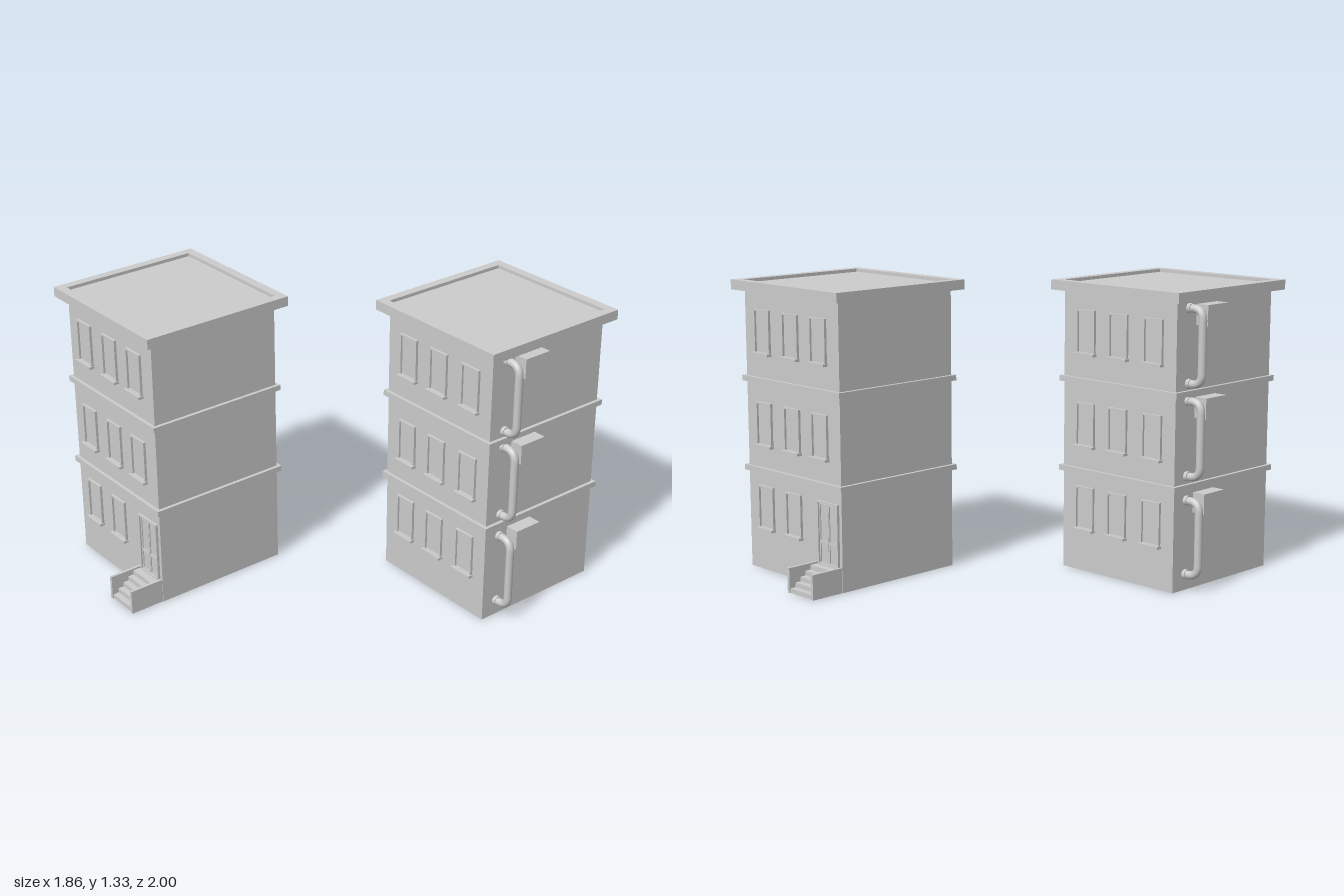
import * as THREE from 'three';

const material = new THREE.MeshStandardMaterial({ color: 0xcccccc });
const HALF = 0.327; // half the width of a block

function add(parent, name, geometry, x = 0, y = 0, z = 0) {
  const mesh = new THREE.Mesh(geometry, material);
  mesh.name = name;
  mesh.position.set(x, y, z);
  parent.add(mesh);
  return mesh;
}

// Box given by its lower and upper corners
function box(parent, name, x0, x1, y0, y1, z0, z1) {
  return add(parent, name, new THREE.BoxGeometry(x1 - x0, y1 - y0, z1 - z0),
    (x0 + x1) / 2, (y0 + y1) / 2, (z0 + z1) / 2);
}

function rectPath(PathType, w, h) {
  return new PathType([[-w, -h], [w, -h], [w, h], [-w, h]].map(([x, y]) => new THREE.Vector2(x / 2, y / 2)));
}

// Rectangular frame of width t, extruded along z
function frameGeometry(w, h, t, depth) {
  const shape = rectPath(THREE.Shape, w, h);
  shape.holes.push(rectPath(THREE.Path, w - 2 * t, h - 2 * t));
  return new THREE.ExtrudeGeometry(shape, { depth, bevelEnabled: false });
}

function makeWindow(x, y) {
  const g = new THREE.Group();
  g.name = 'window';
  add(g, 'windowFrame', frameGeometry(0.108, 0.2, 0.008, 0.012), 0, 0.1, 0);
  box(g, 'windowPane', -0.048, 0.048, 0.006, 0.194, -0.004, 0.002);
  box(g, 'windowSill', -0.058, 0.058, -0.006, 0.006, 0, 0.026);
  g.position.set(x, y, HALF);
  return g;
}

function makeDoor(x) {
  const g = new THREE.Group();
  g.name = 'door';
  add(g, 'doorFrame', frameGeometry(0.14, 0.29, 0.008, 0.012), 0, 0.145, 0);
  for (const s of [-1, 1]) {
    add(g, 'doorUpperPanel', frameGeometry(0.06, 0.17, 0.006, 0.005), s * 0.031, 0.193, 0);
    add(g, 'doorLowerPanel', frameGeometry(0.06, 0.095, 0.006, 0.005), s * 0.031, 0.057, 0);
  }
  g.position.set(x, 0.103, HALF);
  return g;
}

function makeStairs(x) {
  const g = new THREE.Group();
  g.name = 'stairs';
  const depth = 0.165, steps = 5, run = 0.028, rise = 0.021;
  for (const s of [-1, 1]) {
    box(g, 'stairWall', s * 0.081 - 0.007, s * 0.081 + 0.007, 0, 0.113, 0, depth);
  }
  // Stepped profile swept across between the side walls
  const shape = new THREE.Shape();
  shape.moveTo(0, 0);
  shape.lineTo(depth - 0.005, 0);
  for (let i = 0; i < steps; i++) {
    shape.lineTo(depth - 0.005 - i * run, (i + 1) * rise);
    shape.lineTo(i === steps - 1 ? 0 : depth - 0.005 - (i + 1) * run, (i + 1) * rise);
  }
  const geo = new THREE.ExtrudeGeometry(shape, { depth: 0.148, bevelEnabled: false });
  geo.rotateY(-Math.PI / 2);
  add(g, 'steps', geo, 0.074, 0, 0);
  g.position.set(x, 0, HALF);
  return g;
}

// Drain pipe bent back into the wall at both ends
function makePipe(top, bottom) {
  const g = new THREE.Group();
  g.name = 'drainPipe';
  const wall = -HALF + 0.01, out = -HALF - 0.075, r = 0.05;
  const V = (x, y) => new THREE.Vector3(x, y, 0);
  const path = new THREE.CurvePath();
  path.add(new THREE.LineCurve3(V(wall, top), V(out + r, top)));
  path.add(new THREE.QuadraticBezierCurve3(V(out + r, top), V(out, top), V(out, top - r)));
  path.add(new THREE.LineCurve3(V(out, top - r), V(out, bottom + r)));
  path.add(new THREE.QuadraticBezierCurve3(V(out, bottom + r), V(out, bottom), V(out + r, bottom)));
  path.add(new THREE.LineCurve3(V(out + r, bottom), V(wall, bottom)));
  add(g, 'pipe', new THREE.TubeGeometry(path, 64, 0.018, 14));
  for (const y of [top, bottom]) {
    const collar = new THREE.CylinderGeometry(0.022, 0.022, 0.02, 14);
    collar.rotateZ(Math.PI / 2);
    add(g, 'pipeCollar', collar, -HALF - 0.006, y, 0);
  }
  g.position.z = -0.247;
  return g;
}

function makeBuilding() {
  const g = new THREE.Group();
  g.name = 'building';
  box(g, 'walls', -HALF, HALF, 0, 1.29, -HALF, HALF);

  // Bands between the floors
  for (const y of [0.453, 0.866]) {
    box(g, 'floorBand', -0.343, 0.343, y, y + 0.025, -0.343, 0.343);
  }

  // Roof slab with raised rim
  box(g, 'roofSlab', -0.371, 0.371, 1.28, 1.31, -0.371, 0.371);
  const rim = frameGeometry(0.742, 0.742, 0.042, 0.017);
  rim.rotateX(-Math.PI / 2);
  add(g, 'roofRim', rim, 0, 1.308, 0);

  // Windows, front and back; the door takes one place on the ground floor
  const front = new THREE.Group(), back = new THREE.Group();
  front.name = 'frontFacade';
  back.name = 'backFacade';
  back.rotation.y = Math.PI;
  [0.194, 0.58, 1.0].forEach((y, floor) => {
    [-0.2, 0, 0.192].forEach((x, i) => {
      if (floor > 0 || i < 2) front.add(makeWindow(x, y));
      back.add(makeWindow(-x, y));
    });
  });
  front.add(makeDoor(0.24), makeStairs(0.236));
  g.add(front, back);

  // Pipes and cooling units on the side wall
  for (const [top, bottom] of [[0.405, 0.073], [0.845, 0.513], [1.248, 0.92]]) g.add(makePipe(top, bottom));
  for (const y of [0.342, 0.765, 1.17]) {
    box(g, 'coolingUnit', -HALF - 0.063, -HALF + 0.005, y, y + 0.091, -0.198, -0.06);
  }
  return g;
}

export function createModel() {
  const model = new THREE.Group();
  model.name = 'apartmentBlocks';
  // Two equal blocks, half a turn apart
  [1, -1].forEach((s) => {
    const b = makeBuilding();
    b.position.set(-0.509 * s, 0, 0.508 * s);
    b.rotation.y = s > 0 ? 0 : Math.PI;
    model.add(b);
  });
  return model;
}
